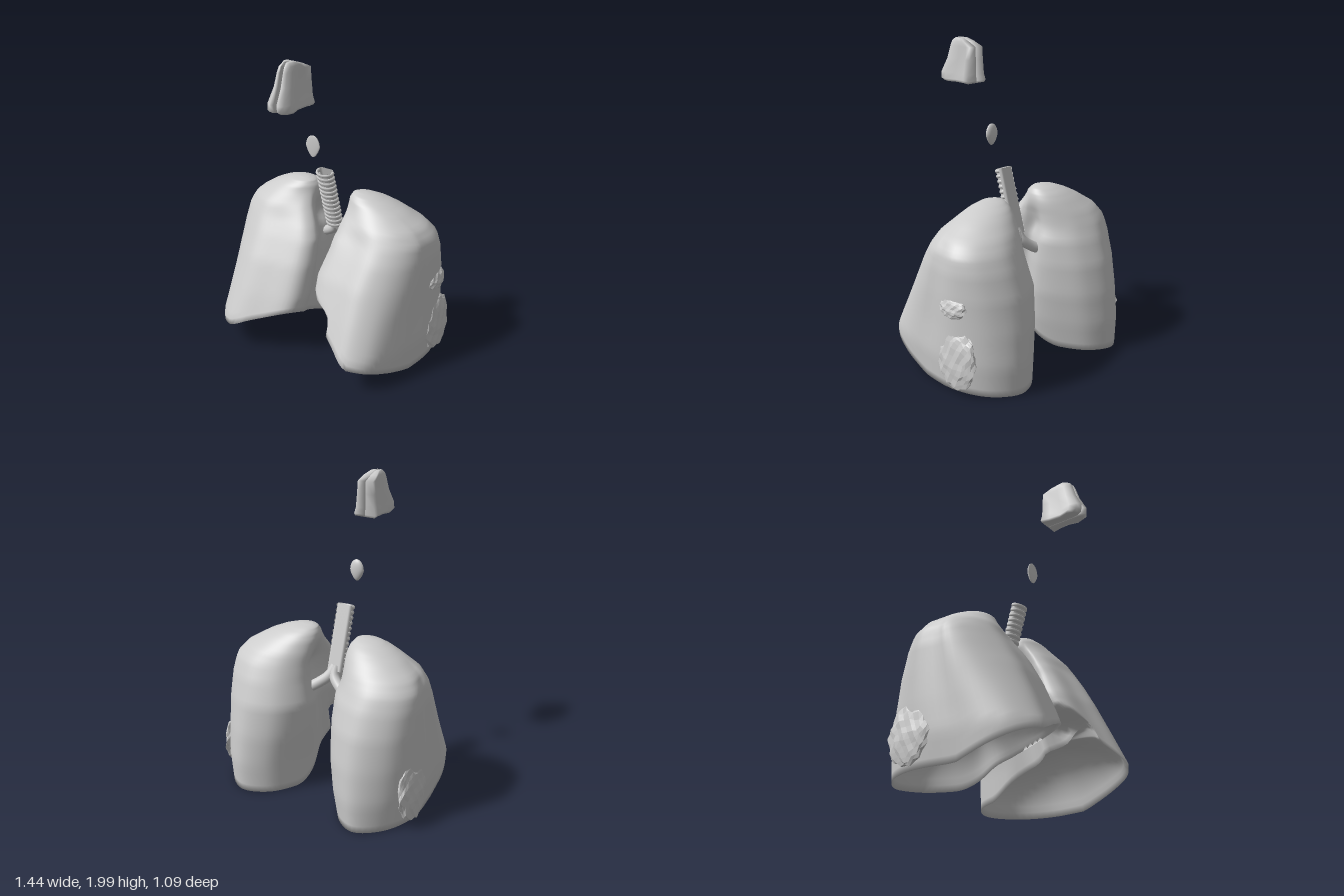
import * as THREE from 'three';

const { lerp, smoothstep, clamp } = THREE.MathUtils;
const material = () => new THREE.MeshStandardMaterial({ color: 0xcccccc, side: THREE.DoubleSide });

function add(parent, name, geometry, flat = false) {
  const mesh = new THREE.Mesh(geometry, material());
  mesh.material.flatShading = flat;
  mesh.name = name;
  parent.add(mesh);
  return mesh;
}

// Skin a stack of closed rings, close both ends with fans and face everything outwards.
function loft(rings) {
  const n = rings[0].length, pts = rings.flat(), index = [];
  for (let r = 0; r < rings.length - 1; r++)
    for (let i = 0; i < n; i++) {
      const a = r * n + i, b = r * n + (i + 1) % n;
      index.push(a, b, a + n, b, b + n, a + n);
    }
  [0, rings.length - 1].forEach((r, end) => {
    const mid = new THREE.Vector3();
    rings[r].forEach(p => mid.addScaledVector(p, 1 / n));
    const c = pts.push(mid) - 1;
    for (let i = 0; i < n; i++) {
      const a = r * n + i, b = r * n + (i + 1) % n;
      index.push(...(end ? [a, b, c] : [b, a, c]));
    }
  });
  let volume = 0;
  const cross = new THREE.Vector3();
  for (let i = 0; i < index.length; i += 3)
    volume += cross.crossVectors(pts[index[i]], pts[index[i + 1]]).dot(pts[index[i + 2]]);
  if (volume < 0) index.reverse();
  const g = new THREE.BufferGeometry().setFromPoints(pts);
  g.setIndex(index);
  g.computeVertexNormals();
  return g;
}

// Linear lookup in rows sorted from top to bottom: [y, ...values].
function rowAt(rows, y) {
  let i = 0;
  while (i < rows.length - 2 && y < rows[i + 1][0]) i++;
  const a = rows[i], b = rows[i + 1];
  const t = clamp((a[0] - y) / (a[0] - b[0]), 0, 1);
  return a.map((v, k) => lerp(v, b[k], t));
}

// A lung: outer wall from apex to rim, then a hollow domed underside.
// rows are [y, inner x, outer x, back z, front z]; plan is [inner-outer 0..1, back-front -1..1].
function lungGeometry({ side, rows, plan, notch, innerRise, dome }) {
  const N = 80, STEPS = 40, UNDER = 14, top = rows[0][0];
  const curve = new THREE.CatmullRomCurve3(plan.map(([u, v]) => new THREE.Vector3(u, 0, v)), true);
  const outline = Array.from({ length: N }, (_, i) => curve.getPoint(i / N));
  const place = (p, y) => {
    const [, inner, outer, back, front] = rowAt(rows, y);
    const push = notch * (1 - smoothstep(y, 0.4, 0.53)) * smoothstep(p.z, 0.1, 0.55);
    // The outline turns into an ellipse towards the apex, the outer front corner sooner.
    const corner = smoothstep(p.x, 0.45, 0.75) * smoothstep(p.z, 0, 0.35);
    const round = Math.max(smoothstep(y, 0.8, 1.04), corner * smoothstep(y, 0.15, 0.7));
    const angle = Math.atan2(p.z, p.x * 2 - 1);
    const u = lerp(Math.max(p.x, push), 0.5 + 0.5 * Math.cos(angle), round);
    const v = lerp(p.z, Math.sin(angle), round);
    return new THREE.Vector3(side * lerp(inner, outer, u), y, lerp(back, front, (v + 1) / 2));
  };
  const rimHeight = outline.map(p => {
    const z = place(p, 0.15).z;
    return 0.01 + 0.16 * clamp((z - 0.08) / 0.42, 0, 1)
      + innerRise * Math.max(0, 1 - p.x * 1.6) * smoothstep(z, -0.3, 0.14);
  });
  const rings = [];
  for (let s = 0; s <= STEPS; s++) {
    const t = (s / STEPS) ** 1.7;
    rings.push(outline.map((p, i) => place(p, lerp(top, rimHeight[i], t))));
  }
  const rim = rings[STEPS];
  const centre = new THREE.Vector3(side * 0.38, 0, -0.06);
  for (let s = 1; s <= UNDER; s++) {
    const r = Math.cos(s / UNDER * Math.PI / 2 * 0.97);
    const rise = Math.sqrt(1 - r * r);
    rings.push(rim.map(p => new THREE.Vector3(
      lerp(centre.x, p.x, r * 0.97), lerp(p.y, dome, rise), lerp(centre.z, p.z, r * 0.97))));
  }
  return loft(rings);
}

const rightLung = {
  side: -1, notch: 0, innerRise: 0.2, dome: 0.38,
  rows: [
    [1.08, 0.22, 0.27, -0.09, -0.05], [1.07, 0.175, 0.34, -0.14, -0.01],
    [1.04, 0.15, 0.42, -0.2, 0.03], [1, 0.135, 0.5, -0.25, 0.06],
    [0.92, 0.11, 0.62, -0.33, 0.125], [0.85, 0.08, 0.665, -0.38, 0.165],
    [0.75, 0.03, 0.68, -0.43, 0.23], [0.6, 0.015, 0.685, -0.485, 0.32],
    [0.4, 0.015, 0.69, -0.525, 0.42], [0.2, 0.045, 0.69, -0.545, 0.515], [0, 0.1, 0.67, -0.535, 0.5]],
  plan: [[0.6, -1], [0.86, -0.78], [1, -0.35], [0.95, 0.2], [0.9, 0.6], [0.78, 0.87], [0.6, 1],
    [0.33, 0.95], [0.08, 0.86], [0, 0.62], [0.08, 0.32], [0.18, 0.08], [0.12, -0.25], [0.2, -0.6],
    [0.36, -0.88]]
};
const leftLung = {
  side: 1, notch: 0.3, innerRise: 0.28, dome: 0.38,
  rows: [
    [1.08, 0.17, 0.23, -0.09, -0.05], [1.07, 0.135, 0.3, -0.14, -0.01],
    [1.04, 0.115, 0.39, -0.2, 0.03], [1, 0.105, 0.48, -0.25, 0.06],
    [0.92, 0.105, 0.61, -0.33, 0.125], [0.85, 0.11, 0.665, -0.38, 0.165],
    [0.75, 0.1, 0.68, -0.43, 0.23], [0.6, 0.065, 0.685, -0.485, 0.32],
    [0.4, 0.08, 0.685, -0.52, 0.42], [0.2, 0.1, 0.69, -0.535, 0.515], [0, 0.11, 0.67, -0.525, 0.5]],
  plan: [[0.56, -1], [0.84, -0.8], [1, -0.35], [0.96, 0.25], [0.9, 0.6], [0.78, 0.87], [0.58, 1],
    [0.33, 0.95], [0.08, 0.9], [0, 0.72], [0.08, 0.42], [0.13, 0.1], [0.03, -0.28], [0.1, -0.6],
    [0.28, -0.88]]
};

// Crumpled patch on the outer wall of a lung, wider towards the bottom.
function scarGeometry(side, height, depth) {
  const g = new THREE.IcosahedronGeometry(1, 4), p = g.attributes.position;
  for (let i = 0; i < p.count; i++) {
    const x = p.getX(i), y = p.getY(i), z = p.getZ(i);
    const k = 0.95 + 0.1 * Math.sin(9 * y + 5 * z) * Math.cos(8 * z - 4 * x);
    p.setXYZ(i, x * k * 0.04 - side * y * 0.015, y * k * height, z * k * depth);
  }
  return g;
}

// Half of the nose; the two halves leave a fine gap down the middle.
function noseHalf(side) {
  const rows = [ // y, back z, front z, half widths at back, middle and front
    [1.725, 0.27, 0.52, 0.072, 0.055, 0.07], [1.74, 0.265, 0.545, 0.078, 0.06, 0.078],
    [1.78, 0.27, 0.55, 0.068, 0.052, 0.072], [1.87, 0.27, 0.505, 0.06, 0.045, 0.052],
    [1.95, 0.27, 0.48, 0.055, 0.044, 0.044], [1.98, 0.33, 0.465, 0.045, 0.042, 0.036],
    [2, 0.38, 0.44, 0.03, 0.032, 0.022]];
  return loft(rows.map(([y, b, f, wb, wm, wf]) => [
    [0.003, b], [wb, b], [lerp(wb, wm, 0.7), lerp(b, f, 0.2)], [wm, lerp(b, f, 0.5)],
    [wf, lerp(b, f, 0.75)], [wf * 0.8, lerp(b, f, 0.93)], [wf * 0.4, f],
    [0.01, lerp(b, f, 0.95)], [0.003, lerp(b, f, 0.8)]
  ].map(([x, z]) => new THREE.Vector3(side * x, y, z))));
}

export function createModel() {
  const model = new THREE.Group();
  model.name = 'respiratorySystem';

  add(model, 'rightLung', lungGeometry(rightLung));
  add(model, 'leftLung', lungGeometry(leftLung));
  for (const [side, name] of [[-1, 'right'], [1, 'left']]) {
    add(model, name + 'LungScar', scarGeometry(side, 0.2, 0.16), true)
      .position.set(side * 0.675, 0.22, -0.23);
    add(model, name + 'NoseHalf', noseHalf(side));
  }
  add(model, 'upperLeftLungScar', scarGeometry(1, 0.07, 0.11), true).position.set(0.67, 0.55, -0.2);

  // Windpipe: leaning tube, rounded in front and flat behind, with cartilage rings.
  const windpipe = new THREE.Group();
  windpipe.name = 'windpipe';
  windpipe.position.set(-0.01, 0.8, -0.075);
  windpipe.rotation.x = 0.28;
  model.add(windpipe);
  const tube = new THREE.CylinderGeometry(0.056, 0.056, 0.43, 32, 1, true);
  const p = tube.attributes.position;
  for (let i = 0; i < p.count; i++) p.setZ(i, Math.max(p.getZ(i) * 0.75, -0.025));
  tube.translate(0, 0.215, 0);
  tube.computeVertexNormals();
  add(windpipe, 'windpipeTube', tube);
  for (let i = 0; i < 13; i++) {
    const ring = new THREE.TorusGeometry(0.055, 0.009, 8, 24, Math.PI * 1.2);
    ring.rotateZ(-Math.PI * 0.1).rotateX(Math.PI / 2).scale(1, 1.3, 0.75);
    add(windpipe, 'cartilageRing', ring).position.y = 0.015 + i * 0.0335;
  }

  // Main bronchi running into the lungs.
  for (const [side, name, end] of [[1, 'leftBronchus', 0.64], [-1, 'rightBronchus', 0.66]]) {
    const path = new THREE.CatmullRomCurve3([
      new THREE.Vector3(-0.01, 0.83, -0.07), new THREE.Vector3(side * 0.02, 0.77, -0.1),
      new THREE.Vector3(side * 0.09, 0.71, -0.13), new THREE.Vector3(side * 0.2, end, -0.17)]);
    add(model, name, new THREE.TubeGeometry(path, 20, 0.034, 14));
  }

  // Epiglottis: small leaf, flat in front, bulging behind, pointed below.
  const leaf = new THREE.SphereGeometry(1, 28, 20), q = leaf.attributes.position;
  for (let i = 0; i < q.count; i++) {
    const y = q.getY(i), z = q.getZ(i);
    const taper = y < 0 ? 1 + 0.35 * y : 1;
    q.setXYZ(i, q.getX(i) * 0.05 * taper, y * 0.07, z * (z > 0 ? 0.006 : 0.025));
  }
  leaf.computeVertexNormals();
  add(model, 'epiglottis', leaf).position.set(-0.018, 1.41, 0.157);

  return model;
}
